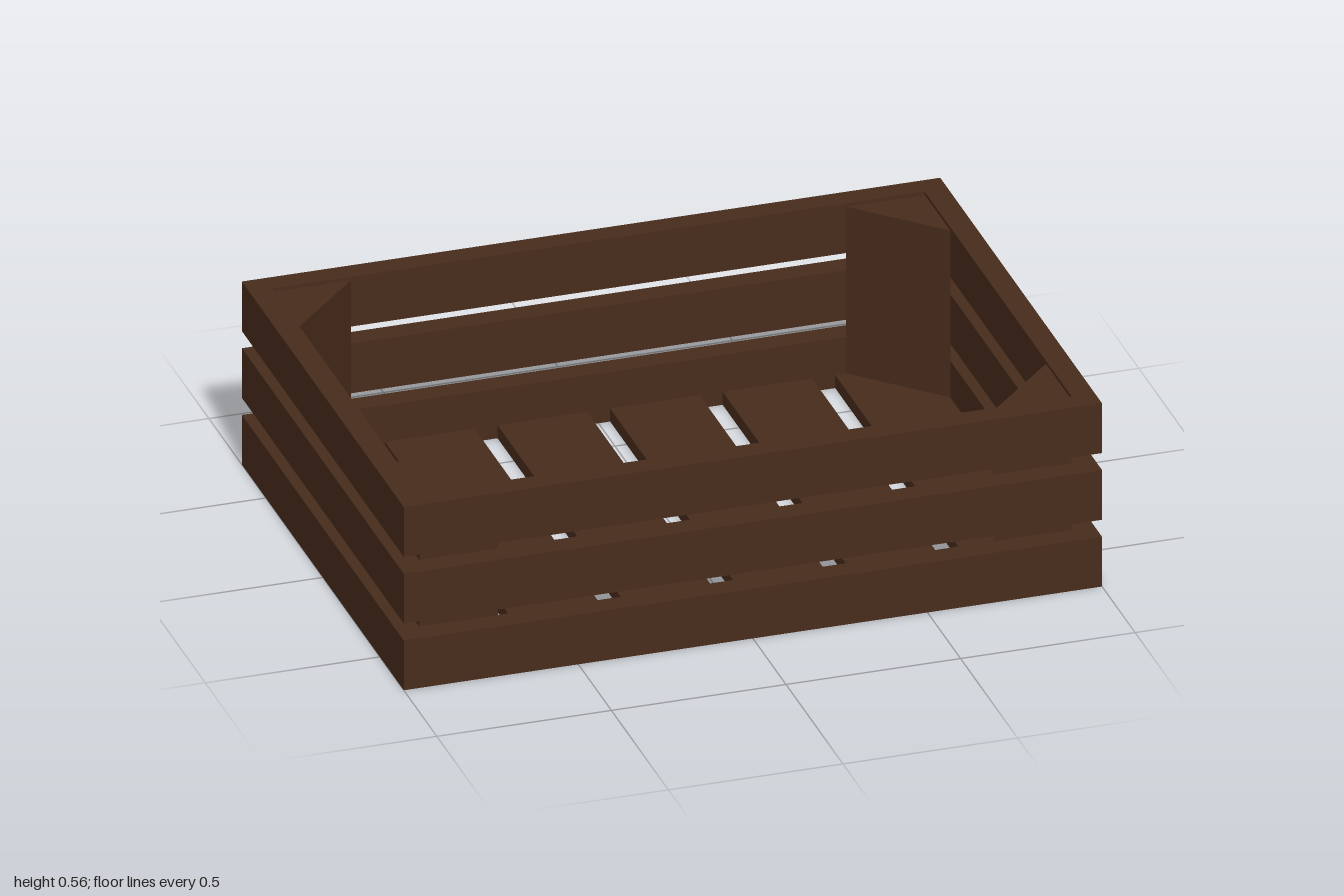
import * as THREE from 'three';

const HALF_X = 1, HALF_Z = 0.71;      // outer half sizes
const WALL = 0.066;                   // plank thickness
const IN_X = HALF_X - WALL, IN_Z = HALF_Z - WALL;
const PLANK_H = 0.152, PLANK_STEP = 0.204;
const FLOOR_H = 0.04, TOP = 0.56;

const polygon = (pts) => new THREE.Shape(pts.map(([x, z]) => new THREE.Vector2(x, z)));
const rect = (x, z) => [[-x, -z], [x, -z], [x, z], [-x, z]];

// Extrude a plan outline upwards from height y
function extrudeUp(shape, y, height) {
  const geo = new THREE.ExtrudeGeometry(shape, { depth: height, bevelEnabled: false });
  return geo.rotateX(-Math.PI / 2).translate(0, y, 0);
}

export function createModel() {
  const crate = new THREE.Group();
  crate.name = 'crate';
  const wood = new THREE.MeshStandardMaterial({ color: 0x472b1b });
  const add = (name, geo) => {
    const mesh = new THREE.Mesh(geo, wood);
    mesh.name = name;
    crate.add(mesh);
    return mesh;
  };

  // Three plank frames stacked with gaps between them
  const frame = polygon(rect(HALF_X, HALF_Z));
  frame.holes.push(polygon(rect(IN_X, IN_Z)));
  for (let i = 0; i < 3; i++) add(`plankFrame${i + 1}`, extrudeUp(frame, i * PLANK_STEP, PLANK_H));

  // Triangular posts joining the frames at the corners
  const leg = 0.225;
  for (const sx of [-1, 1]) for (const sz of [-1, 1]) {
    const post = polygon([
      [sx * IN_X, sz * IN_Z],
      [sx * (IN_X - leg), sz * IN_Z],
      [sx * IN_X, sz * (IN_Z - leg)],
    ]);
    add('cornerPost', extrudeUp(post, FLOOR_H, TOP - 0.01 - FLOOR_H));
  }

  // Floor slats
  const slats = 6, gap = 0.066;
  const width = (2 * IN_X - gap * (slats - 1)) / slats;
  for (let i = 0; i < slats; i++) {
    const slat = add(`floorSlat${i + 1}`, new THREE.BoxGeometry(width, FLOOR_H, 2 * IN_Z));
    slat.position.set(-IN_X + width / 2 + i * (width + gap), FLOOR_H / 2, 0);
  }
  return crate;
}
